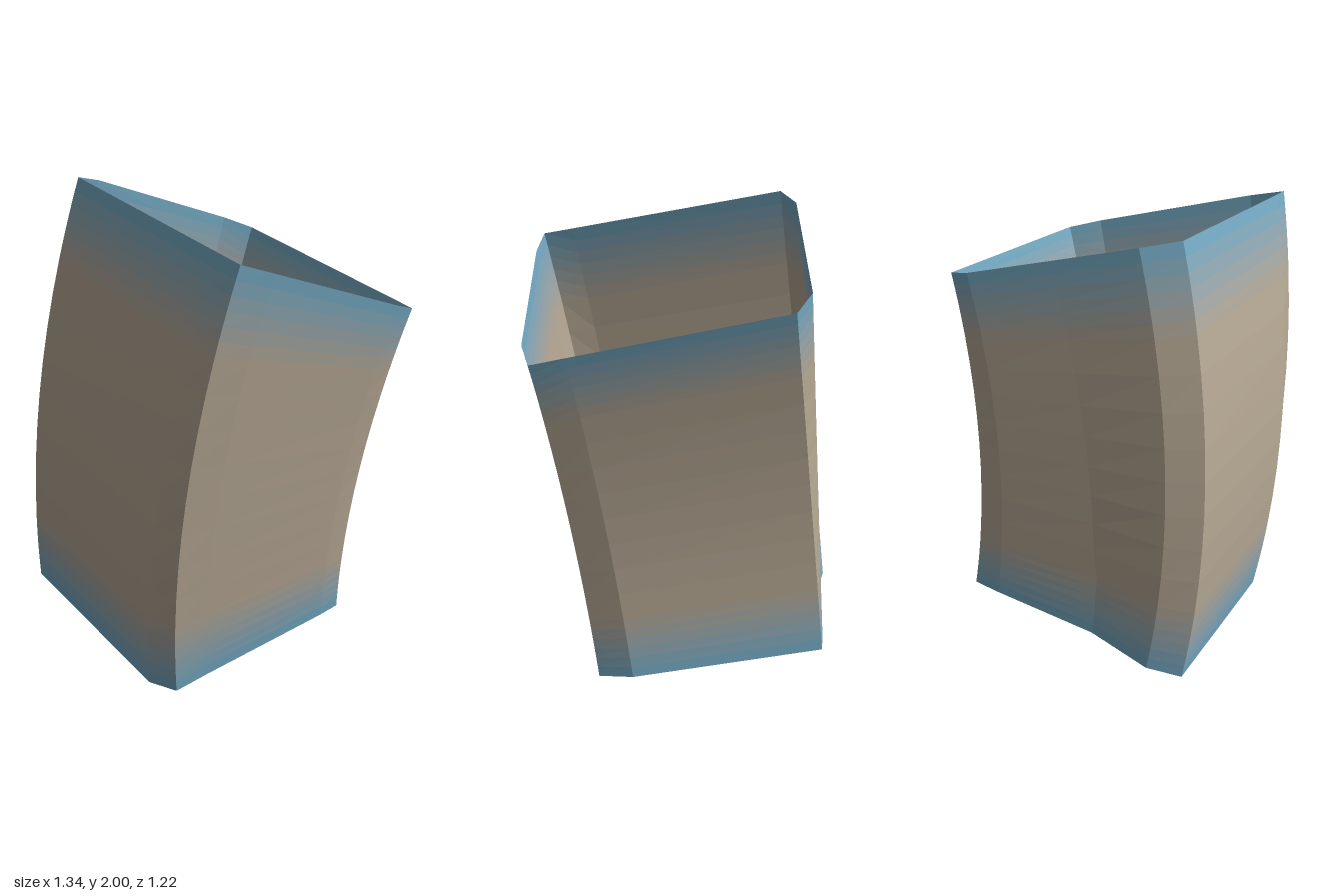
import * as THREE from 'three';

// Rim outline, counter-clockwise from above: [bottom xyz, top xyz]
const RAILS = [
  [[0.18, 0.02, 0.56], [0.48, 1.832, 0.464]],     // front wall, near the corner
  [[0.285, 0, 0.505], [0.6, 1.81, 0.48]],         // front left corner
  [[0.305, 0.017, 0.35], [0.63, 1.76, 0.33]],
  [[0.4, 0.084, -0.28], [0.665, 1.53, -0.37]],
  [[0.41, 0.095, -0.38], [0.635, 1.49, -0.51]],   // back left corner
  [[0.27, 0.125, -0.45], [0.5, 1.518, -0.523]],
  [[-0.5, 0.27, -0.537], [-0.34, 1.69, -0.607]],  // back right corner
  [[-0.525, 0.265, -0.42], [-0.415, 1.74, -0.5]],
  [[-0.59, 0.23, 0.04], [-0.44, 1.855, -0.15]],
  [[-0.67, 0.19, 0.31], [-0.465, 1.97, 0.2]],
  [[-0.66, 0.18, 0.46], [-0.42, 2, 0.345]],       // front right corner
].map((rail) => rail.map((p) => new THREE.Vector3(...p)));

// Point on a rail at height fraction t; the whole sleeve bows forward
function railPoint([bottom, top], t) {
  const bow = 4 * t * (1 - t);
  const p = bottom.clone().lerp(top, t);
  p.x -= 0.012 * bow;
  p.z += (p.z > 0 ? 0.093 : 0.073) * bow;
  return p;
}

// Open band of wall between a list of height fractions
function wallBand(name, levels, color) {
  const n = RAILS.length;
  const positions = [];
  const index = [];
  for (const t of levels) {
    for (const rail of RAILS) positions.push(...railPoint(rail, t).toArray());
  }
  for (let j = 0; j < levels.length - 1; j++) {
    for (let i = 0; i < n; i++) {
      const a = j * n + i;
      const b = j * n + (i + 1) % n;
      index.push(a, b, b + n, a, b + n, a + n);
    }
  }
  const geometry = new THREE.BufferGeometry();
  geometry.setAttribute('position', new THREE.Float32BufferAttribute(positions, 3));
  geometry.setIndex(index);
  geometry.computeVertexNormals();
  const material = new THREE.MeshStandardMaterial({
    color, flatShading: true, side: THREE.DoubleSide,
  });
  const mesh = new THREE.Mesh(geometry, material);
  mesh.name = name;
  return mesh;
}

export function createModel() {
  const group = new THREE.Group();
  group.name = 'bentSquareSleeve';

  const tan = new THREE.Color(0xb5a793);
  const blue = new THREE.Color(0x6fa9c4);
  const fade = 0.18;
  const steps = 6;

  // Plain middle of the sleeve
  const levels = [];
  for (let i = 0; i <= 8; i++) levels.push(fade + (1 - 2 * fade) * i / 8);
  group.add(wallBand('middleWall', levels, tan));

  // Bands fading to blue at both open ends
  for (let i = 0; i < steps; i++) {
    const t0 = fade * i / steps;
    const t1 = fade * (i + 1) / steps;
    const color = blue.clone().lerp(tan, (i + 0.3) / steps);
    group.add(wallBand(`bottomBand${i + 1}`, [t0, t1], color));
    group.add(wallBand(`topBand${i + 1}`, [1 - t1, 1 - t0], color));
  }
  return group;
}
